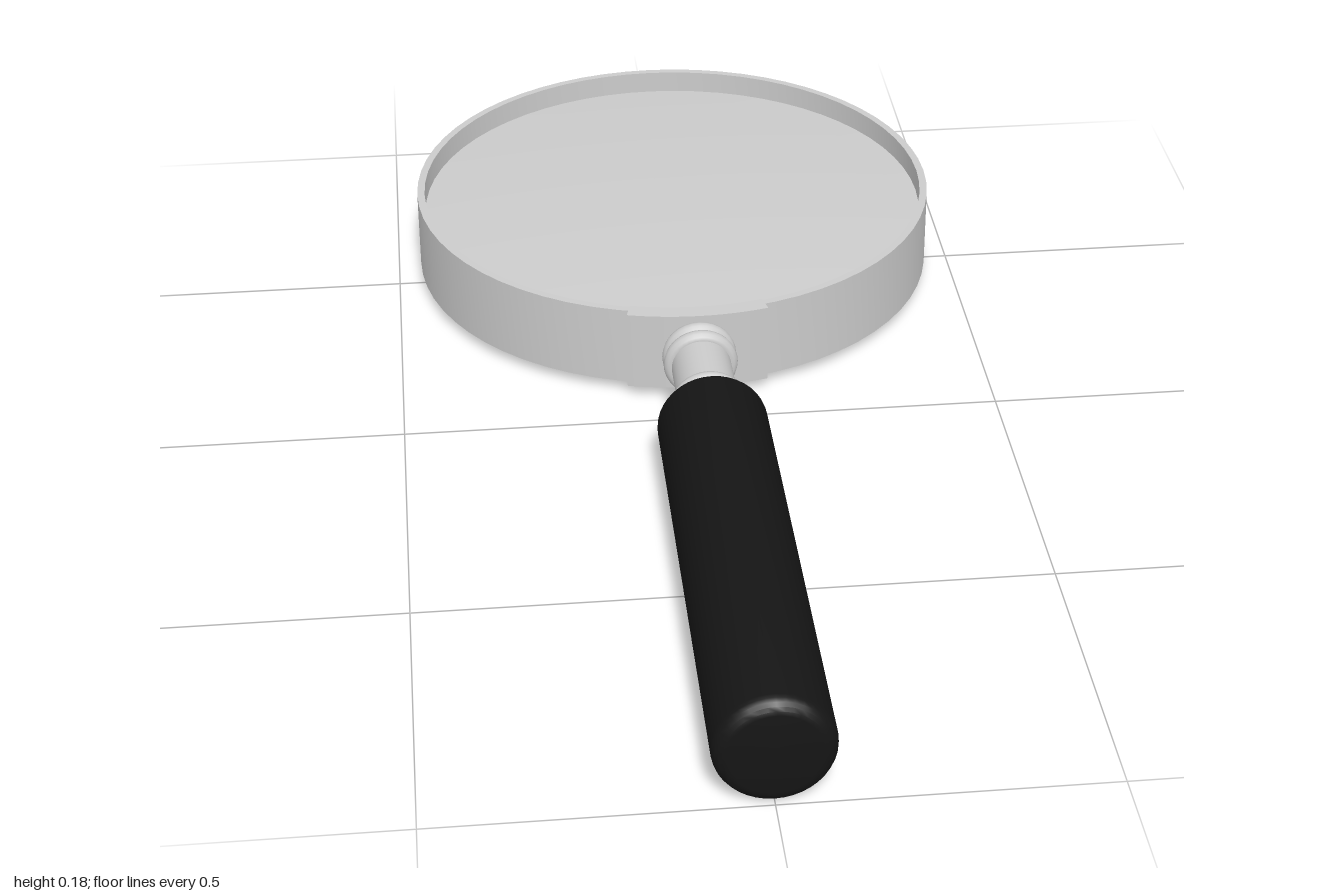
import * as THREE from 'three';
import { toCreasedNormals } from 'three/addons/utils/BufferGeometryUtils.js';

const MID_Y = 0.09;      // height of the handle axis and lens plane
const LENS_Z = -0.54;    // centre of the lens
const grey = new THREE.MeshStandardMaterial({ color: 0xcccccc });
const black = new THREE.MeshStandardMaterial({ color: 0x151515 });

// Turned part from [radius, height] pairs, running up the outside
function lathe(points, segments, crease = 0.6) {
  const profile = points.map(([r, h]) => new THREE.Vector2(r, h));
  return toCreasedNormals(new THREE.LatheGeometry(profile, segments), crease);
}

export function createModel() {
  const group = new THREE.Group();
  const add = (name, geometry, material, z) => {
    const mesh = new THREE.Mesh(geometry, material);
    mesh.name = name;
    mesh.position.set(0, MID_Y, z);
    group.add(mesh);
    return mesh;
  };

  // Thin band around the lens
  add('rim', lathe([
    [0.447, -0.07], [0.46, -0.07], [0.46, 0.07], [0.447, 0.07], [0.447, -0.07],
  ], 64), grey, LENS_Z);

  // Gently domed lens, the same on both sides
  const dome = [];
  for (let i = 0; i <= 10; i++) {
    const t = i / 10;
    dome.push([0.45 * t, -0.03 - 0.018 * (1 - t * t)]);
  }
  const lens = [...dome, ...dome.map(([r, h]) => [r, -h]).reverse()];
  add('lens', lathe(lens, 64), grey, LENS_Z);

  // Curved plate joining the rim to the neck
  const half = 0.255;
  const plate = new THREE.Shape();
  plate.absarc(0, 0, 0.474, -Math.PI / 2 - half, -Math.PI / 2 + half, false);
  plate.absarc(0, 0, 0.443, -Math.PI / 2 + half, -Math.PI / 2 - half, true);
  const plateGeometry = new THREE.ExtrudeGeometry(plate, {
    depth: 0.14, bevelEnabled: false, curveSegments: 12,
  });
  plateGeometry.translate(0, 0, -0.07).rotateX(-Math.PI / 2);
  add('bracket', toCreasedNormals(plateGeometry, 0.6), grey, LENS_Z);

  // Neck rod
  const neck = new THREE.CylinderGeometry(0.05, 0.05, 0.24, 32);
  add('neck', neck.rotateX(Math.PI / 2), grey, 0.04);

  // Two pairs of rounded collars
  for (const z of [-0.056, -0.03, 0.1, 0.126]) {
    add('collar', new THREE.TorusGeometry(0.05, 0.0125, 12, 32), grey, z);
  }

  // Grip with rounded ends
  const length = 0.86, radius = 0.09, round = 0.022;
  const grip = [[0, 0]];
  for (let i = 0; i <= 5; i++) {
    const a = (i / 5) * Math.PI / 2;
    grip.push([radius - round + round * Math.sin(a), round - round * Math.cos(a)]);
  }
  grip.push(...grip.map(([r, h]) => [r, length - h]).reverse());
  add('handle', lathe(grip, 40).rotateX(Math.PI / 2), black, 0.14);

  return group;
}
